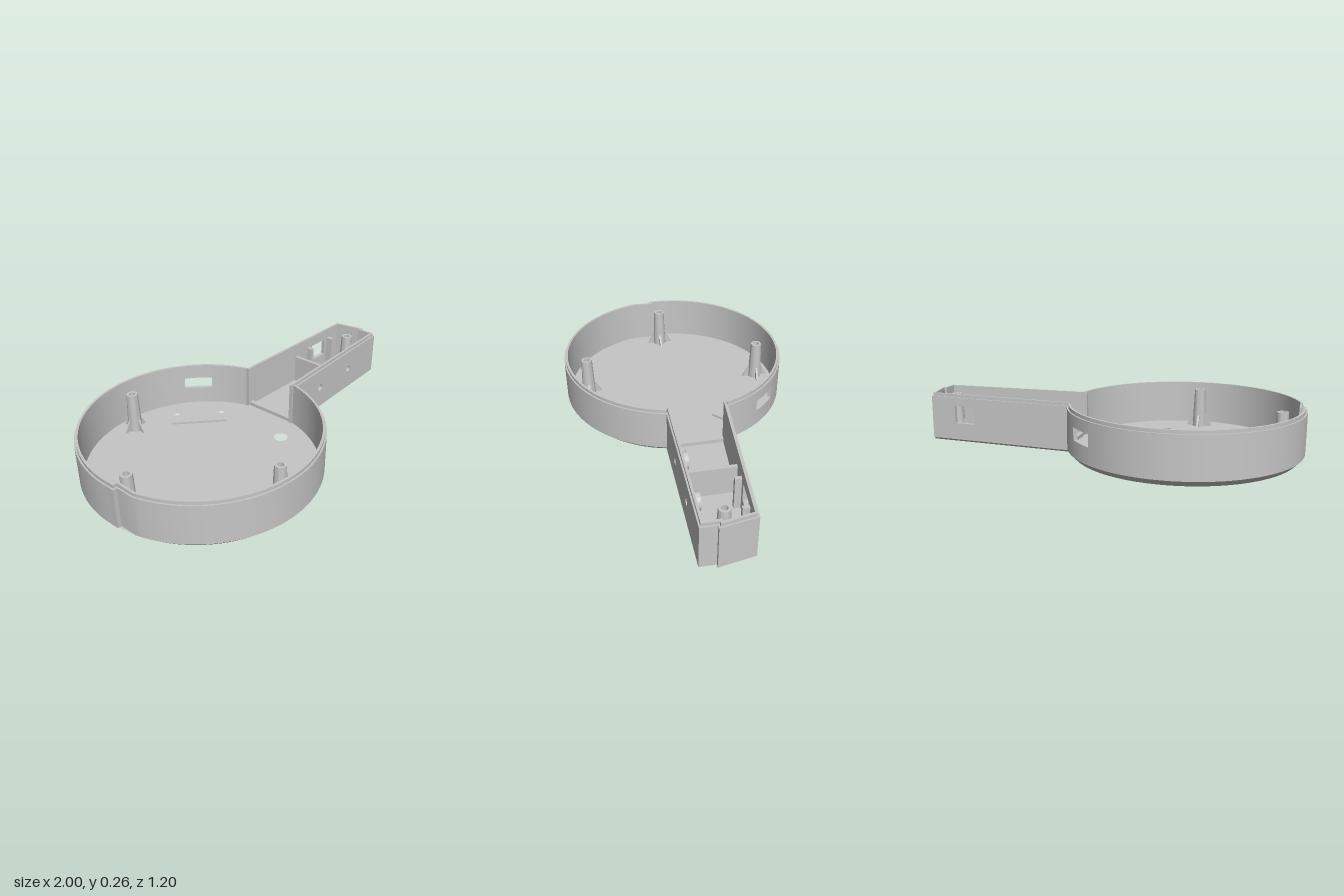
import * as THREE from 'three';
import { toCreasedNormals } from 'three/addons/utils/BufferGeometryUtils.js';

const CX = -0.397, R = 0.6;            // centre and radius of the round tray
const TOP = 0.257, RIM = 0.24, FLOOR = 0.025, WALL = 0.02, LIP = 0.008;

const rad = (d) => d * Math.PI / 180;
const V2 = (x, y) => new THREE.Vector2(x, y);
const onCircle = (d) => V2(CX + R * Math.cos(rad(d)), R * Math.sin(rad(d)));

// Offsets a ground-plan path (x, z) along its mitred outward normals
function normals(path) {
  const seg = path.slice(1).map((p, i) => {
    const t = p.clone().sub(path[i]).normalize();
    return V2(t.y, -t.x);
  });
  return path.map((_, i) => {
    const a = seg[Math.max(i - 1, 0)], b = seg[Math.min(i, seg.length - 1)];
    return a.clone().add(b).divideScalar(1 + a.dot(b));
  });
}
const inset = (path, d) => {
  const n = normals(path);
  return path.map((p, i) => p.clone().addScaledVector(n[i], -d));
};

// Sweeps a counter-clockwise (outward, height) profile along path points i0..i1
function sweep(path, profile, i0, i1) {
  const n = normals(path), pos = [], count = profile.length;
  const put = (i, k) => {
    const q = profile[k % count];
    pos.push(path[i].x + n[i].x * q.x, q.y, path[i].y + n[i].y * q.x);
  };
  for (let i = i0; i < i1; i++) {
    for (let k = 0; k < count; k++) {
      put(i, k); put(i, k + 1); put(i + 1, k + 1);
      put(i, k); put(i + 1, k + 1); put(i + 1, k);
    }
  }
  for (const [a, b, c] of THREE.ShapeUtils.triangulateShape(profile, [])) {
    put(i1, a); put(i1, b); put(i1, c);
    put(i0, a); put(i0, c); put(i0, b);
  }
  const g = new THREE.BufferGeometry();
  g.setAttribute('position', new THREE.Float32BufferAttribute(pos, 3));
  return toCreasedNormals(g, rad(25));
}

// Wall profiles: foot with a chamfer c, and a rim with a thin inner lip
const foot = (c) => [V2(-0.035, 0), V2(-c, 0), V2(0, c)];
const rim = [V2(0, RIM), V2(-LIP, RIM), V2(-LIP, TOP), V2(-WALL, TOP)];
const step = [V2(-WALL, FLOOR), V2(-0.035, FLOOR)];
const solid = (c) => [...foot(c), ...rim, ...step];
const below = (c, y) => [...foot(c), V2(0, y), V2(-WALL, y), ...step];
const above = (y) => [V2(-WALL, y), V2(0, y), ...rim];

const circleHole = (x, y, r) => new THREE.Path().absarc(x, y, r, 0, Math.PI * 2, true);

export function createModel() {
  const group = new THREE.Group();
  const grey = new THREE.MeshStandardMaterial({ color: 0xc6c6c6 });
  grey.name = 'light grey plastic';
  const add = (name, geometry, x = 0, y = 0, z = 0) => {
    const m = new THREE.Mesh(geometry, grey);
    m.name = name;
    m.position.set(x, y, z);
    group.add(m);
    return m;
  };
  const box = (name, x0, x1, y0, y1, z0, z1) =>
    add(name, new THREE.BoxGeometry(x1 - x0, y1 - y0, z1 - z0), (x0 + x1) / 2, (y0 + y1) / 2, (z0 + z1) / 2);
  // Flat slab from a ground plan with round holes [x, z] of radius r
  const slab = (name, plan, holes, y, h) => {
    const s = new THREE.Shape(plan.map((p) => V2(p.x, -p.y)));
    for (const [x, z, r] of holes) s.holes.push(circleHole(x, -z, r));
    const g = new THREE.ExtrudeGeometry(s, { depth: h, bevelEnabled: false, curveSegments: 20 });
    add(name, toCreasedNormals(g.rotateX(-Math.PI / 2), rad(25)), 0, y, 0);
  };

  // Round tray plan, with a small overlap step on the far side
  const disc = [];
  for (let k = 0; k <= 50; k++) disc.push(onCircle(12.5 + k * 153.5 / 50));
  disc.push(V2(-0.977, 0.05), V2(-0.998, 0.05));
  for (let k = 0; k <= 34; k++) disc.push(onCircle(178 + k * 129.7 / 34));
  const w0 = disc.length - 1;
  for (let k = 1; k <= 5; k++) disc.push(onCircle(307.7 + k * 14.8 / 5));
  const w1 = disc.length - 1;
  for (let k = 1; k <= 6; k++) disc.push(onCircle(322.5 + k * 19.5 / 6));

  // Handle plan: tapered back wall, stepped end, straight front wall
  const backZ = (x) => -0.185 + 0.0692 * (x - 0.17);
  const handle = [0.16, 0.708, 0.826, 0.965].map((x) => V2(x, backZ(x)));
  handle.push(V2(0.999, 0.05), V2(0.981, 0.05), V2(0.981, 0.13), V2(0.16, 0.13));

  // Tray wall with a cable window
  const c = 0.03;
  add('trayWall', sweep(disc, solid(c), 0, w0));
  add('trayWallBelowWindow', sweep(disc, below(c, 0.117), w0, w1));
  add('trayWallAboveWindow', sweep(disc, above(0.18), w0, w1));
  add('trayWallEnd', sweep(disc, solid(c), w1, disc.length - 1));

  // Round foot carried on under the overlap step
  const stepArc = [164, 167, 170, 173, 176, 179].map(onCircle);
  add('stepFoot', sweep(stepArc, [V2(-0.06, 0), V2(-0.03, 0), V2(-0.02, 0.01), V2(-0.06, 0.01)], 0, 5));

  // Handle walls with a switch window and a drilled front panel
  const h = 0.01;
  add('handleBackWall', sweep(handle, solid(h), 0, 1));
  add('handleWallBelowWindow', sweep(handle, below(h, 0.1), 1, 2));
  add('handleWallAboveWindow', sweep(handle, above(0.195), 1, 2));
  add('handleEndWall', sweep(handle, solid(h), 2, 6));
  add('handleFrontFoot', sweep(handle, below(h, 0.03), 6, 7));
  add('handleFrontRim', sweep(handle, above(0.235), 6, 7));
  const panel = new THREE.Shape([V2(0.16, 0.03), V2(0.981, 0.03), V2(0.981, 0.235), V2(0.16, 0.235)]);
  const drilled = [0.423, 0.706];
  for (const x of drilled) panel.holes.push(circleHole(x, 0.13, 0.018));
  add('handleFrontPanel', toCreasedNormals(
    new THREE.ExtrudeGeometry(panel, { depth: WALL, bevelEnabled: false, curveSegments: 20 }), rad(25)), 0, 0, 0.13 - WALL);

  // Floor with screw, light and mounting holes
  const posts = [[-0.4, -0.488], [-0.4, 0.48], [-0.88, 0], [0.88, 0]];
  const mounts = [[-0.173, -0.4], [0, -0.23]];
  slab('floor', [...inset(disc, 0.03), ...inset(handle, 0.011)],
    [...[...posts, ...mounts].map(([x, z]) => [x, z, 0.023]), [0.02, 0.165, 0.036]], 0, FLOOR);
  slab('mountingPlate', [V2(-0.13, -0.48), V2(0.078, -0.275), V2(-0.045, -0.155), V2(-0.255, -0.36)],
    mounts.map(([x, z]) => [x, z, 0.016]), FLOOR, 0.012);

  // Screw posts with a stepped bore and four gusset fins each
  const postProfile = [V2(0.037, 0.02), V2(0.029, 0.235), V2(0.016, 0.235), V2(0.016, 0.16),
    V2(0.023, 0.16), V2(0.023, 0.02), V2(0.037, 0.02)];
  const fin = new THREE.Shape([V2(0.03, 0), V2(0.072, 0), V2(0.062, 0.02), V2(0.034, 0.065), V2(0.03, 0.065)]);
  const finGeometry = new THREE.ExtrudeGeometry(fin, { depth: 0.01, bevelEnabled: false }).translate(0, 0, -0.005);
  const postGeometry = toCreasedNormals(new THREE.LatheGeometry(postProfile, 28), rad(30));
  for (const [x, z] of posts) {
    add('screwPost', postGeometry, x, 0, z);
    for (let k = 0; k < 4; k++) add('postFin', finGeometry, x, FLOOR, z).rotation.y = k * Math.PI / 2;
  }

  // Ring bosses behind the drilled holes
  const ring = [V2(0.045, 0), V2(0.045, 0.045), V2(0.018, 0.045), V2(0.018, 0), V2(0.045, 0)];
  const ringGeometry = toCreasedNormals(new THREE.LatheGeometry(ring, 28), rad(30));
  for (const x of drilled) add('ringBoss', ringGeometry, x, 0.13, 0.07).rotation.x = Math.PI / 2;

  // Inner sill, partition and the switch ribs
  box('mouthSill', 0.167, 0.192, 0.02, 0.045, -0.17, 0.115);
  box('partition', 0.553, 0.572, 0.02, 0.18, -0.15, 0.115);
  for (const x of [0.668, 0.855]) box('switchRib', x - 0.01, x + 0.01, 0.02, 0.2, backZ(x) + 0.01, backZ(x) + 0.054);
  return group;
}
